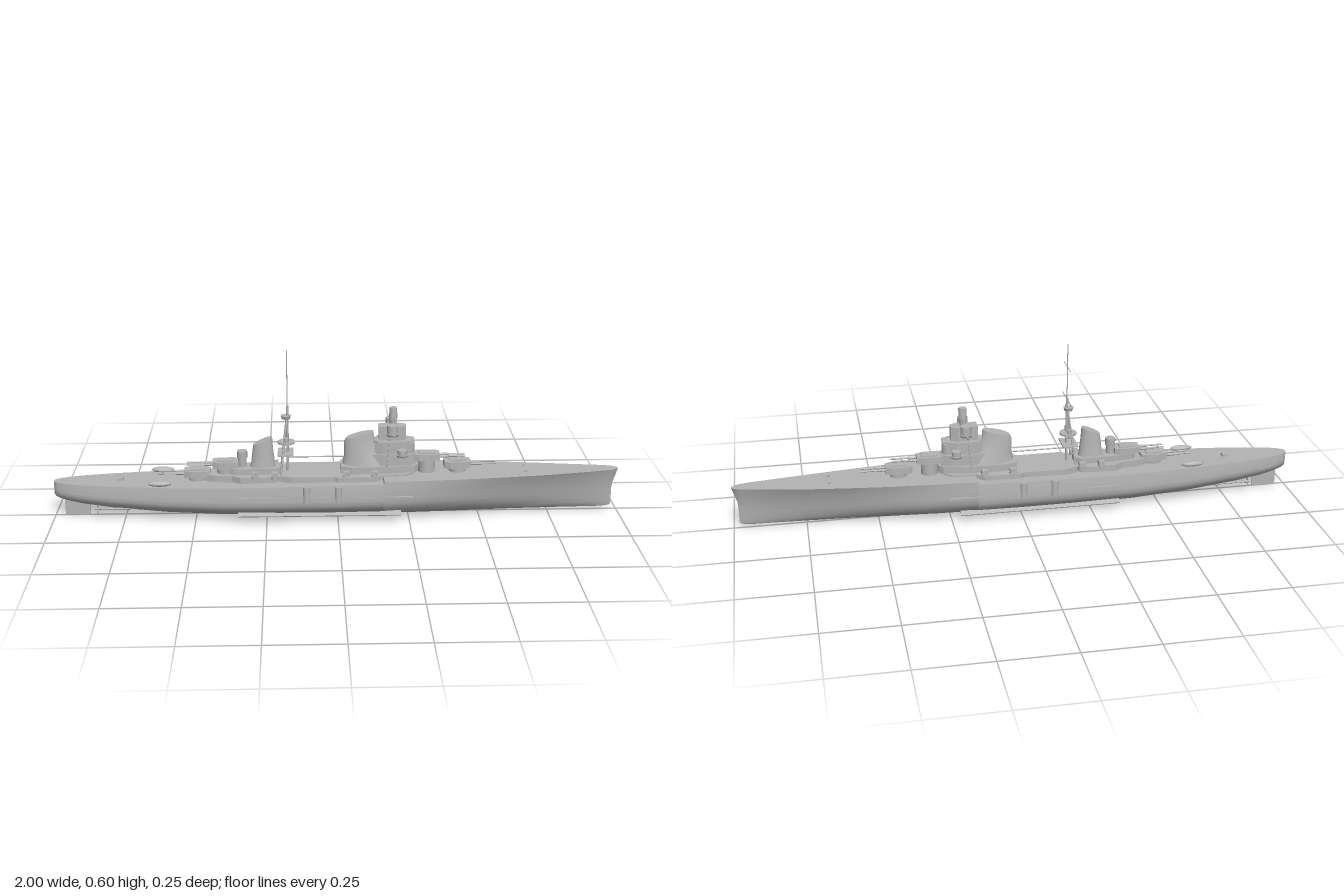
import * as THREE from 'three';

const grey = new THREE.MeshStandardMaterial({ color: 0xb4b4b4 });
grey.name = 'hull grey';
const greyThin = grey;
const lerp = THREE.MathUtils.lerp;

export function createModel() {
  const ship = new THREE.Group();
  ship.name = 'warship';

  // --- helpers ---
  const add = (name, geo, x = 0, y = 0, z = 0) => {
    const m = new THREE.Mesh(geo, greyThin);
    m.name = name;
    m.position.set(x, y, z);
    ship.add(m);
    return m;
  };
  const box = (name, x0, x1, y0, y1, z0, z1) =>
    add(name, new THREE.BoxGeometry(x1 - x0, y1 - y0, z1 - z0), (x0 + x1) / 2, (y0 + y1) / 2, (z0 + z1) / 2);
  const pair = (name, x0, x1, y0, y1, z0, z1) => {
    box(name + 'Left', x0, x1, y0, y1, -z1, -z0);
    box(name + 'Right', x0, x1, y0, y1, z0, z1);
  };
  const drum = (name, x, z, y0, y1, r0, r1 = r0, n = 20) =>
    add(name, new THREE.CylinderGeometry(r1, r0, y1 - y0, n), x, (y0 + y1) / 2, z);
  const rod = (name, a, b, r, n = 8) => {
    const p = new THREE.Vector3(...a), q = new THREE.Vector3(...b);
    const m = add(name, new THREE.CylinderGeometry(r, r, p.distanceTo(q), n));
    m.position.copy(p).add(q).multiplyScalar(0.5);
    m.quaternion.setFromUnitVectors(new THREE.Vector3(0, 1, 0), q.sub(p).normalize());
    return m;
  };
  // Block from a half plan outline [x, z], mirrored across the centreline
  const house = (name, half, y0, y1) => {
    const pts = [...half, ...half.slice().reverse().map(([x, z]) => [x, -z])];
    const s = new THREE.Shape(pts.map(([x, z]) => new THREE.Vector2(x, z)));
    const g = new THREE.ExtrudeGeometry(s, { depth: y1 - y0, bevelEnabled: false });
    return add(name, g.rotateX(-Math.PI / 2), 0, y0, 0);
  };
  // Oval trunk lofted through [y, centre x, radius x, radius z], slanted cap
  const trunk = (name, rows, slant) => {
    const N = 28, pos = [], idx = [];
    rows.forEach(([y, cx, rx, rz], i) => {
      for (let k = 0; k < N; k++) {
        const a = (k / N) * Math.PI * 2;
        const tilt = i === rows.length - 1 ? slant * Math.cos(a) : 0;
        pos.push(cx + rx * Math.cos(a), y + tilt, rz * Math.sin(a));
        if (i) {
          const c = i * N + k, d = i * N + (k + 1) % N;
          idx.push(c - N, c, d - N, d - N, c, d);
        }
      }
    });
    const g = new THREE.BufferGeometry();
    g.setAttribute('position', new THREE.Float32BufferAttribute(pos, 3));
    g.setIndex(idx);
    g.computeVertexNormals();
    add(name, g);
    const [y, cx, rx, rz] = rows[rows.length - 1];
    const cap = new THREE.CircleGeometry(1, N).rotateX(-Math.PI / 2).scale(rx, 1, rz);
    const p = cap.attributes.position;
    for (let i = 0; i < p.count; i++) p.setY(i, slant * p.getX(i) / rx);
    cap.computeVertexNormals();
    add(name + 'Cap', cap, cx, y, 0);
  };

  // --- hull: [x, half beam, keel y, deck y, bow sharpness] ---
  const stations = [
    [-1, 0, 0.085, 0.13, 0], [-0.995, 0.014, 0.075, 0.13, 0], [-0.98, 0.025, 0.068, 0.13, 0],
    [-0.95, 0.038, 0.06, 0.13, 0], [-0.9, 0.051, 0.05, 0.13, 0], [-0.8, 0.069, 0.037, 0.13, 0],
    [-0.6, 0.092, 0.02, 0.131, 0], [-0.4, 0.107, 0.011, 0.133, 0], [-0.2, 0.115, 0.01, 0.138, 0],
    [0, 0.117, 0.01, 0.142, 0], [0.158, 0.115, 0.01, 0.144, 0.02], [0.16, 0.115, 0.01, 0.154, 0.02],
    [0.3, 0.109, 0.01, 0.154, 0.12], [0.45, 0.097, 0.01, 0.154, 0.32], [0.6, 0.08, 0.01, 0.154, 0.55],
    [0.75, 0.06, 0.009, 0.154, 0.78], [0.87, 0.041, 0.009, 0.155, 0.93], [0.94, 0.029, 0.01, 0.156, 1],
    [0.975, 0.021, 0.012, 0.156, 1], [0.993, 0.011, 0.015, 0.156, 1], [1, 0, 0.02, 0.156, 1]];
  const full = [[0, 0], [0.42, 0.02], [0.72, 0.14], [0.9, 0.29], [0.985, 0.43], [1, 0.58], [0.985, 0.8], [0.96, 1]];
  const sharp = [[0, 0], [0.12, 0.02], [0.22, 0.14], [0.31, 0.29], [0.39, 0.43], [0.49, 0.58], [0.72, 0.82], [1, 1]];
  const rings = stations.map(([x, w, k, d, v]) => {
    const half = full.map(([fz, fy], j) => {
      const z = w * lerp(fz, sharp[j][0], v), t = lerp(fy, sharp[j][1], v);
      const rake = 0.02 * Math.max(0, (x - 0.85) / 0.15) * Math.min(1, (1 - t) * 2.2);
      return [x - rake, lerp(k, d, t), z];
    });
    return [...half.slice().reverse(), ...half.slice(1).map(([a, b, c]) => [a, b, -c])];
  });
  const M = rings[0].length, sideIdx = [], deckIdx = [];
  for (let i = 0; i < rings.length - 1; i++) {
    const a = i * M, b = a + M;
    for (let j = 0; j < M - 1; j++) sideIdx.push(a + j, a + j + 1, b + j, b + j, a + j + 1, b + j + 1);
    deckIdx.push(a, b, a + M - 1, b, b + M - 1, a + M - 1);
  }
  const surface = (idx) => {
    const g = new THREE.BufferGeometry();
    g.setAttribute('position', new THREE.Float32BufferAttribute(rings.flat(2), 3));
    g.setIndex(idx);
    return g;
  };
  const sides = surface(sideIdx);
  sides.computeVertexNormals();
  add('hull', sides);
  const deck = surface(deckIdx).toNonIndexed();
  deck.computeVertexNormals();
  add('deck', deck);

  // --- underwater fittings and side details ---
  for (const s of [-1, 1]) {
    const keel = box('bilgeKeel', -0.35, 0.22, -0.002, 0.002, -0.018, 0.018);
    keel.position.set(-0.065, 0.034, s * 0.087);
    keel.rotation.x = s * 0.5;
    box('sideStrake', -0.35, 0.26, 0.094, 0.1, s * 0.113 - 0.004, s * 0.113 + 0.004);
    rod('propellerShaft', [-0.84, 0.037, s * 0.038], [-0.55, 0.04, s * 0.05], 0.003);
    rod('shaftStrut', [-0.825, 0.038, s * 0.038], [-0.82, 0.07, s * 0.03], 0.002);
    rod('propellerHub', [-0.855, 0.037, s * 0.038], [-0.835, 0.037, s * 0.038], 0.005);
    for (let k = 0; k < 3; k++) {
      const blade = add('propellerBlade', new THREE.SphereGeometry(1, 10, 6).scale(0.002, 0.01, 0.006));
      const a = k * Math.PI * 2 / 3;
      blade.position.set(-0.845, 0.037 + 0.012 * Math.cos(a), s * 0.038 + 0.012 * Math.sin(a));
      blade.rotation.set(a, 0.4, 0, 'XYZ');
    }
    const guard = add('propellerGuard', new THREE.TorusGeometry(0.025, 0.0014, 6, 28).rotateX(Math.PI / 2).scale(1.3, 1, 0.9), -0.888, 0.104, s * 0.058);
    guard.updateMatrix();
    // Quarterdeck boats
    add('deckBoat', new THREE.SphereGeometry(1, 16, 8).scale(0.041, 0.01, 0.013), -0.622, 0.141, s * 0.071);
    // Sponsons at the deck edge
    for (const x of [-0.11, 0]) drum('sponson', x, s * 0.11, 0.08, 0.138, 0.013);
    pair('bollard', 0.66, 0.67, 0.154, 0.162, 0.025, 0.031);
  }
  const rudder = new THREE.Shape([[-0.965, 0.004], [-0.88, 0], [-0.877, 0.052], [-0.965, 0.064]].map(p => new THREE.Vector2(...p)));
  add('rudder', new THREE.ExtrudeGeometry(rudder, { depth: 0.006, bevelEnabled: false }), 0, 0, -0.003);
  box('aftHatch', -0.775, -0.755, 0.13, 0.138, -0.009, 0.009);

  // --- deckhouses ---
  house('midDeckhouse', [[-0.2, 0.06], [-0.16, 0.075], [-0.01, 0.075], [0, 0.082], [0.13, 0.082], [0.16, 0.06], [0.24, 0.055], [0.27, 0.03]], 0.138, 0.16);
  house('aftDeckhouse', [[-0.47, 0.022], [-0.43, 0.04], [-0.37, 0.045], [-0.34, 0.065], [-0.22, 0.065], [-0.2, 0.05]], 0.13, 0.157);
  house('bridgeBase', [[0.01, 0.035], [0.05, 0.05], [0.2, 0.045], [0.27, 0.032], [0.285, 0.015]], 0.158, 0.185);
  house('aftUpperDeckhouse', [[-0.39, 0.02], [-0.36, 0.035], [-0.22, 0.035], [-0.2, 0.02]], 0.155, 0.178);

  // --- main gun turrets: x, floor, direction ---
  const turret = (x, y, dir, deckY) => {
    drum('barbette', x, 0, deckY, y, 0.03, 0.03, 28);
    const plan = [[-0.048, 0.022], [-0.03, 0.029], [0.02, 0.029], [0.045, 0.02]].map(([a, z]) => [x + dir * a, z]);
    house('turret', dir > 0 ? plan : plan.reverse(), y, y + 0.025);
    box('turretRoof', x - 0.028, x + 0.028, y + 0.025, y + 0.029, -0.018, 0.018);
    for (const z of [-0.011, 0.011]) {
      rod('gunSleeve', [x + dir * 0.04, y + 0.013, z], [x + dir * 0.075, y + 0.013, z], 0.0048, 12);
      rod('gunBarrel', [x + dir * 0.04, y + 0.013, z], [x + dir * 0.135, y + 0.014, z], 0.003, 10);
    }
  };
  turret(0.425, 0.168, 1, 0.15);
  turret(0.315, 0.197, 1, 0.15);
  turret(-0.495, 0.143, -1, 0.125);
  turret(-0.395, 0.175, -1, 0.13);

  // --- secondary guns along both sides ---
  for (const s of [-1, 1]) for (const [x, z, y] of [[-0.29, 0.055, 0.157], [-0.22, 0.058, 0.157], [0.03, 0.066, 0.16], [0.13, 0.066, 0.16]]) {
    drum('gunMount', x, s * z, y - 0.01, y + 0.004, 0.014);
    box('gunShield', x - 0.011, x + 0.011, y + 0.003, y + 0.017, s * z - 0.009, s * z + 0.009);
    rod('lightGun', [x, y + 0.011, s * z], [x + 0.008, y + 0.013, s * (z + 0.026)], 0.002);
  }

  // --- funnels ---
  trunk('foreFunnel', [[0.158, 0.11, 0.1, 0.045], [0.19, 0.1, 0.082, 0.04], [0.22, 0.09, 0.066, 0.034], [0.265, 0.077, 0.054, 0.028], [0.292, 0.078, 0.048, 0.026]], 0.012);
  trunk('aftFunnel', [[0.155, -0.265, 0.05, 0.034], [0.19, -0.262, 0.042, 0.028], [0.24, -0.262, 0.036, 0.025], [0.272, -0.262, 0.033, 0.023]], 0.014);

  // --- bridge tower ---
  house('bridgeLower', [[0.12, 0.028], [0.16, 0.036], [0.24, 0.034], [0.275, 0.02]], 0.18, 0.225);
  house('bridgeMiddle', [[0.13, 0.022], [0.16, 0.03], [0.22, 0.03], [0.255, 0.016]], 0.225, 0.275);
  house('bridgeGallery', [[0.14, 0.038], [0.22, 0.04], [0.27, 0.02]], 0.268, 0.274);
  house('bridgeUpper', [[0.145, 0.022], [0.215, 0.026], [0.24, 0.014]], 0.274, 0.325);
  drum('conningTower', 0.25, 0, 0.22, 0.262, 0.021);
  drum('directorBase', 0.195, 0, 0.32, 0.35, 0.011, 0.014);
  drum('mainDirector', 0.195, 0, 0.35, 0.39, 0.015, 0.013);
  rod('rangefinder', [0.2, 0.36, -0.066], [0.2, 0.36, 0.066], 0.0028);
  for (const s of [-1, 1]) {
    drum('sideDirector', 0.19, s * 0.043, 0.308, 0.338, 0.019);
    drum('sideDirectorPlatform', 0.19, s * 0.043, 0.3, 0.308, 0.02, 0.024);
    rod('signalBoom', [0.2, 0.314, s * 0.05], [0.19, 0.319, s * 0.12], 0.0025);
    drum('lowerDirector', 0.225, s * 0.045, 0.23, 0.247, 0.016);
    drum('lowerPlatform', 0.225, s * 0.045, 0.223, 0.23, 0.018, 0.021);
    rod('towerLeg', [0.17, 0.16, s * 0.046], [0.185, 0.32, s * 0.022], 0.003);
  }

  // --- aft control station ---
  drum('aftDirectorBase', -0.335, 0, 0.175, 0.21, 0.015);
  drum('aftDirector', -0.335, 0, 0.21, 0.235, 0.018);
  rod('aftRangefinder', [-0.335, 0.222, -0.04], [-0.335, 0.222, 0.04], 0.0025);

  // --- main mast ---
  rod('mainMast', [-0.175, 0.14, 0], [-0.175, 0.4, 0], 0.0045);
  rod('topMast', [-0.175, 0.39, 0], [-0.175, 0.598, 0], 0.0018);
  rod('lowerYard', [-0.175, 0.395, -0.07], [-0.175, 0.395, 0.07], 0.0017);
  rod('upperYard', [-0.175, 0.515, -0.052], [-0.175, 0.515, 0.052], 0.0014);
  drum('mastTop', -0.18, 0, 0.352, 0.364, 0.014, 0.018);
  drum('searchlightPlatform', -0.18, 0, 0.262, 0.269, 0.03);
  box('mastPlatform', -0.21, -0.155, 0.225, 0.23, -0.04, 0.04);
  for (const s of [-1, 1]) {
    rod('mastLeg', [-0.2, 0.15, s * 0.045], [-0.178, 0.35, s * 0.006], 0.0035);
    drum('searchlight', -0.18, s * 0.02, 0.269, 0.286, 0.008);
  }
  rod('craneBoom', [-0.175, 0.21, 0], [0.03, 0.21, 0], 0.0025);
  return ship;
}
